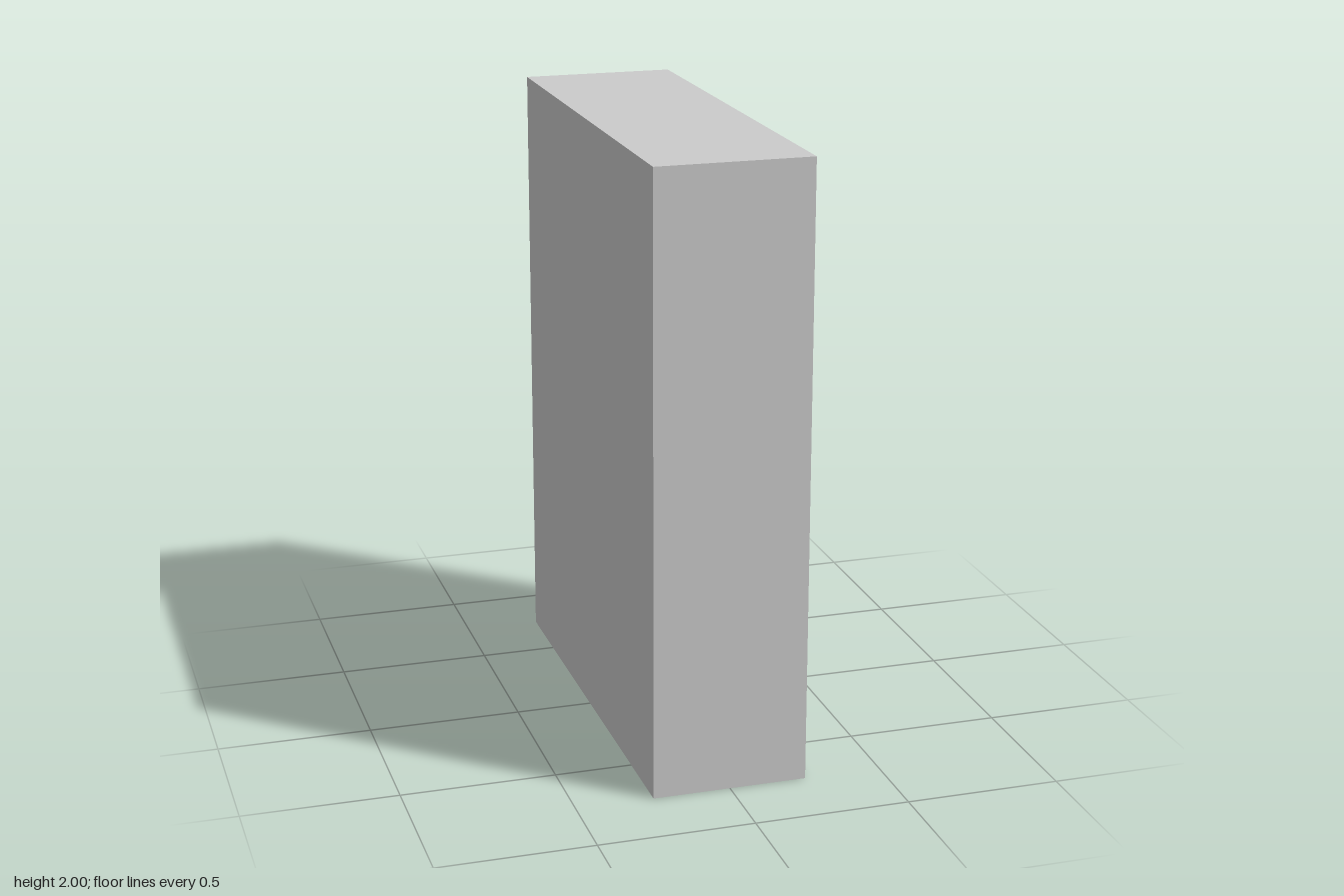
import * as THREE from 'three';

const material = new THREE.MeshStandardMaterial({ color: 0xcccccc, flatShading: true });

// Box given by its lowest and highest corners
function block(name, [x0, y0, z0], [x1, y1, z1]) {
  const geometry = new THREE.BoxGeometry(x1 - x0, y1 - y0, z1 - z0);
  geometry.translate((x0 + x1) / 2, (y0 + y1) / 2, (z0 + z1) / 2);
  const mesh = new THREE.Mesh(geometry, material);
  mesh.name = name;
  return mesh;
}

function rectangle(target, halfWidth, bottom, top) {
  target.moveTo(-halfWidth, bottom);
  target.lineTo(halfWidth, bottom);
  target.lineTo(halfWidth, top);
  target.lineTo(-halfWidth, top);
  target.closePath();
  return target;
}

export function createModel() {
  const model = new THREE.Group();
  model.name = 'cabinet';
  const face = 0.25, floor = 0.2;

  // Solid body; its +x side is the recessed panel
  model.add(block('body', [-face, 0, -0.75], [floor, 2, 0.75]));

  // Raised rim around the recessed panel
  const rim = rectangle(new THREE.Shape(), 0.75, 0, 2);
  rim.holes.push(rectangle(new THREE.Path(), 0.66, 0.12, 1.885));
  const rimGeometry = new THREE.ExtrudeGeometry(rim, { depth: face - floor, bevelEnabled: false });
  rimGeometry.rotateY(Math.PI / 2).translate(floor, 0, 0);
  const rimMesh = new THREE.Mesh(rimGeometry, material);
  rimMesh.name = 'rim';
  model.add(rimMesh);

  // Handle: a central block with a narrower arm on each side
  const handle = new THREE.Group();
  handle.name = 'handle';
  handle.add(block('handleCentre', [floor, 0.92, -0.1], [0.235, 1, 0.1]));
  handle.add(block('handleArmFront', [floor, 0.945, 0.1], [0.233, 0.98, 0.19]));
  handle.add(block('handleArmBack', [floor, 0.943, -0.183], [0.233, 0.98, -0.1]));
  model.add(handle);

  return model;
}
